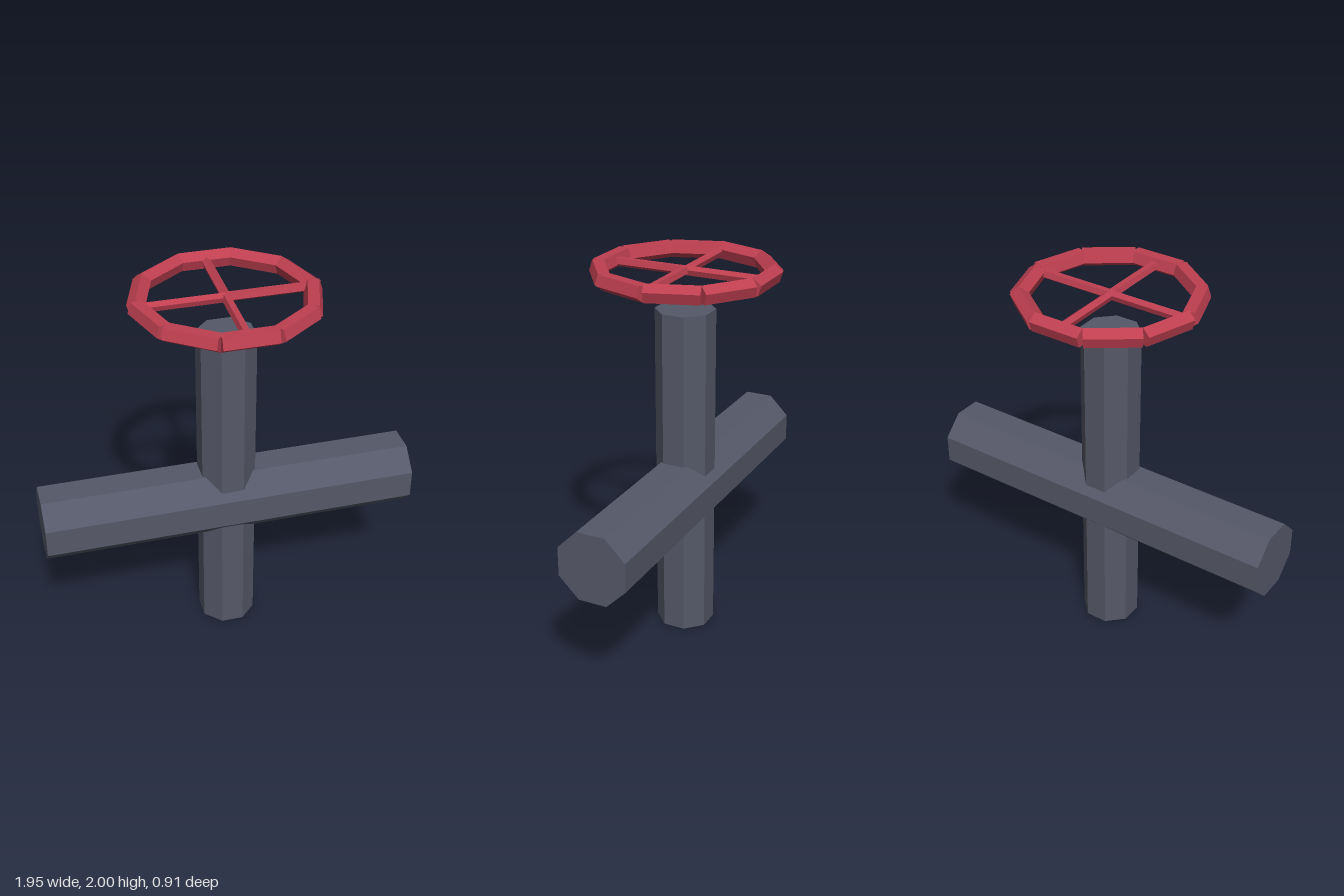
import * as THREE from 'three';

export function createModel() {
  const group = new THREE.Group();
  const steel = new THREE.MeshStandardMaterial({ color: 0x555868, flatShading: true });
  steel.name = 'slate grey';
  const red = new THREE.MeshStandardMaterial({ color: 0xbe3f50, flatShading: true });
  red.name = 'wheel red';

  const add = (name, geometry, material, parent = group) => {
    const mesh = new THREE.Mesh(geometry, material);
    mesh.name = name;
    parent.add(mesh);
    return mesh;
  };

  // Octagonal prism standing on y, flat sides facing the axes
  const octagon = (half, length) =>
    new THREE.CylinderGeometry(half / Math.cos(Math.PI / 8), half / Math.cos(Math.PI / 8), length, 8)
      .rotateY(Math.PI / 8);

  // Crossing pipes
  add('stem', octagon(0.141, 1.76), steel).position.y = 0.88;
  add('pipe', octagon(0.179, 1.954).rotateZ(Math.PI / 2), steel).position.y = 0.784;

  // Handwheel of five-sided bars
  const wheel = new THREE.Group();
  wheel.name = 'handwheel';
  wheel.position.y = 1.952;
  group.add(wheel);

  // Horizontal bar from a to b, with one edge on top or underneath
  const bar = (name, a, b, radius, edgeUp) => {
    const geometry = new THREE.CylinderGeometry(radius, radius, a.distanceTo(b), 5)
      .rotateX(edgeUp ? -Math.PI / 2 : Math.PI / 2);
    const mesh = add(name, geometry, red, wheel);
    mesh.position.copy(a).add(b).multiplyScalar(0.5);
    mesh.rotation.y = Math.atan2(b.x - a.x, b.z - a.z);
  };
  const onRing = (i, radius = 0.433) => {
    const t = (i * Math.PI) / 5;
    return new THREE.Vector3(radius * Math.cos(t), 0, radius * Math.sin(t));
  };

  // Rim: ten straight segments
  for (let i = 0; i < 10; i++) bar('rimSegment', onRing(i), onRing(i + 1), 0.0475, i >= 5);

  // Four spokes meeting in the middle
  const centre = new THREE.Vector3();
  for (let i = 0; i < 4; i++) {
    bar('spoke', centre, onRing(i * 2.5, i % 2 ? 0.41 : 0.42), 0.025, i >= 2);
  }
  return group;
}
